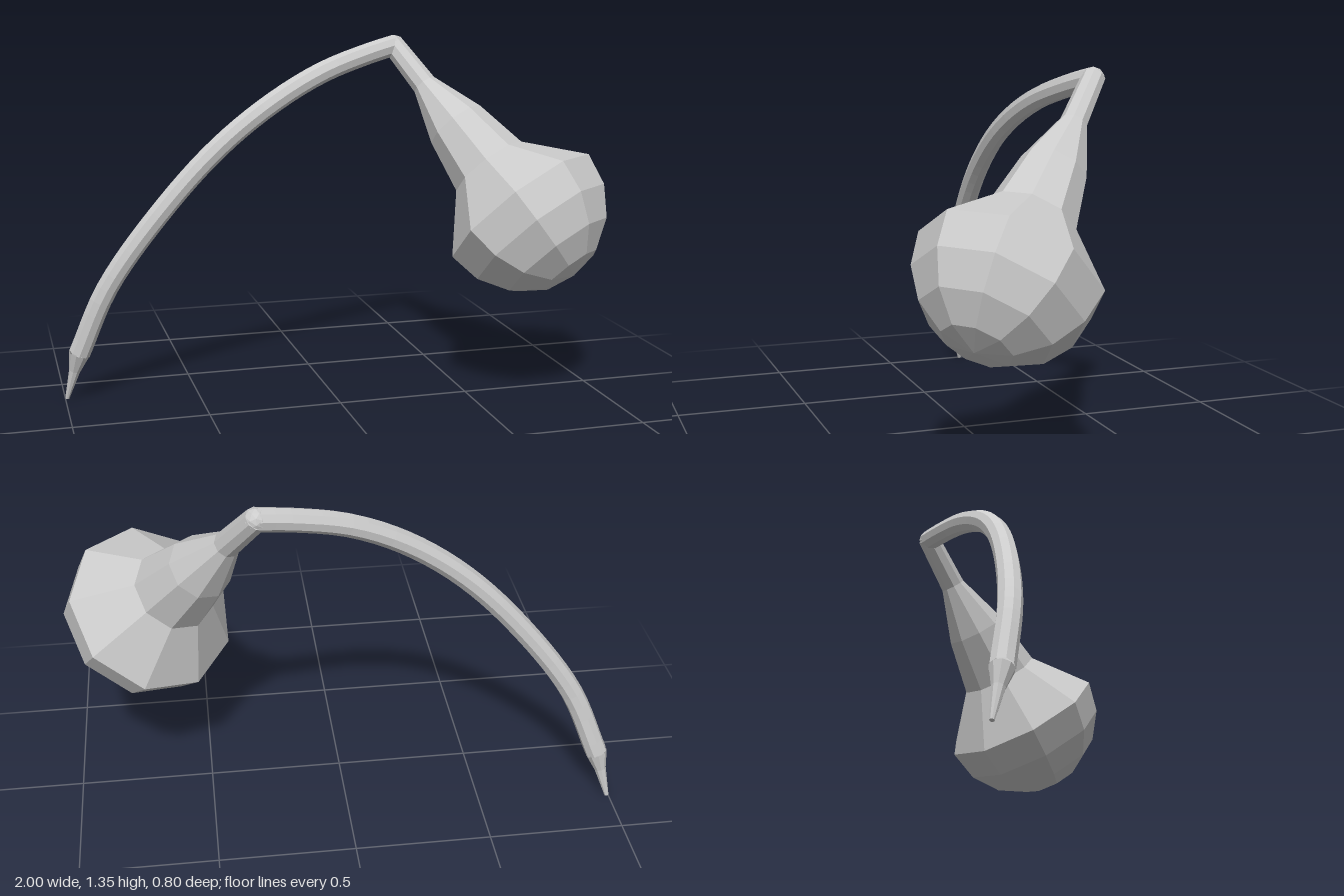
import * as THREE from 'three';

const SIDES = 9;
const V = (x, y, z) => new THREE.Vector3(x, y, z);
const material = new THREE.MeshStandardMaterial({ color: 0xcccccc, flatShading: true, side: THREE.DoubleSide });

function addMesh(group, name, geometry) {
  const mesh = new THREE.Mesh(geometry, material);
  mesh.name = name;
  group.add(mesh);
  return mesh;
}

// Turned shape whose profile [radius, distance] runs from one point toward another;
// "up" is the direction that a flat side faces.
function addTurned(group, name, profile, from, to, up) {
  const geometry = new THREE.LatheGeometry(profile.map(([r, s]) => new THREE.Vector2(r, s)), SIDES);
  const axis = to.clone().sub(from).normalize();
  const back = up.clone().addScaledVector(axis, -up.dot(axis)).normalize().negate();
  const sideways = axis.clone().cross(back);
  geometry.applyMatrix4(new THREE.Matrix4().makeBasis(sideways, axis, back).setPosition(from));
  return addMesh(group, name, geometry);
}

export function createModel() {
  const group = new THREE.Group();
  const elbow = V(0.315, 1.312, -0.365);
  const bulbCentre = V(0.68, 0.73, 0.08);
  const armEnd = V(-0.943, 0.19, -0.285);
  const tipEnd = V(-0.994, 0, -0.322);

  // Curved arm
  const curve = new THREE.CatmullRomCurve3([
    elbow, V(0.2, 1.285, -0.33), V(0, 1.222, -0.275), V(-0.2, 1.118, -0.235),
    V(-0.4, 0.97, -0.217), V(-0.6, 0.765, -0.217), V(-0.83, 0.455, -0.243), armEnd,
  ]);
  addMesh(group, 'arm', new THREE.TubeGeometry(curve, 32, 0.041, SIDES));

  // Pointed end of the arm
  addTurned(group, 'armTip',
    [[0.041, 0], [0.022, 0.075], [0.008, 0.197], [0, 0.197]], armEnd, tipEnd, V(0, 0, 1));

  // Joint between arm and neck
  addMesh(group, 'elbow', new THREE.IcosahedronGeometry(0.041, 1)).position.copy(elbow);

  // Flaring neck and rounded bulb in one profile
  const radius = 0.32;
  const length = elbow.distanceTo(bulbCentre);
  const profile = [[0, -0.01], [0.042, -0.01], [0.048, 0.205], [0.118, 0.41], [0.155, 0.62]];
  for (let i = 0; i <= 4; i++) {
    const a = (i / 4) * Math.PI / 2;
    profile.push([radius * Math.cos(a), length + radius * Math.sin(a)]);
  }
  addTurned(group, 'neckAndBulb', profile, elbow, bulbCentre, V(0.48, 0.685, 0.55));

  return group;
}
